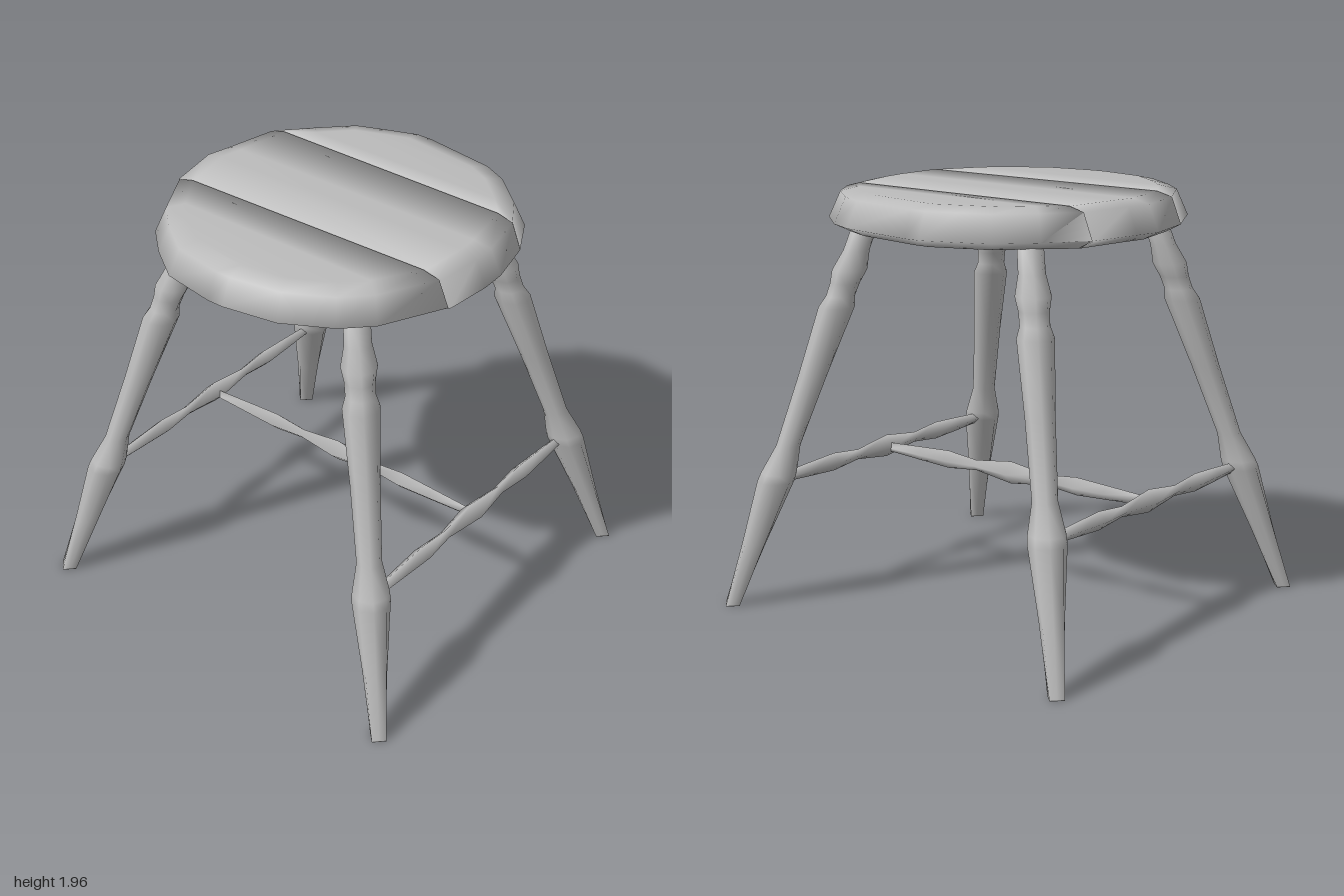
import * as THREE from 'three';
import { mergeVertices } from 'three/addons/utils/BufferGeometryUtils.js';

const wood = new THREE.MeshStandardMaterial({ color: 0xbbbbbb });
wood.name = 'plain wood grey';

function part(name, geometry) {
  const mesh = new THREE.Mesh(geometry, wood);
  mesh.name = name;
  return mesh;
}

// Low-sided turned piece with smooth, seamless normals; profile is [radius, height]
function turned(profile, sides) {
  const g = new THREE.LatheGeometry(profile.map(([r, y]) => new THREE.Vector2(r, y)), sides);
  g.deleteAttribute('uv');
  g.deleteAttribute('normal');
  return mergeVertices(g, 1e-4);
}

// Leg leaning outwards, with horizontal slices shifted along its axis
function leg(sx, sz) {
  const g = turned([
    [0, 0], [0.046, 0], [0.046, 0.002], [0.065, 0.3], [0.086, 0.6], [0.083, 0.64], [0.056, 0.77],
    [0.066, 1.1], [0.083, 1.42], [0.066, 1.47], [0.068, 1.53], [0.08, 1.59],
    [0.06, 1.68], [0.058, 1.81], [0, 1.81],
  ], 8);
  const p = g.attributes.position;
  for (let i = 0; i < p.count; i++) {
    let x = p.getX(i), z = p.getZ(i);
    const y = p.getY(i);
    // The section turns from octagon at the knee to square at the foot
    if (Math.abs(x * z) > 1e-6) {
      const k = 0.707 + 0.293 * Math.min(1, y / 0.6);
      x *= k;
      z *= k;
    }
    p.setX(i, x + sx * (0.915 - 0.247 * y));
    p.setZ(i, z + sz * (0.95 - 0.267 * y));
  }
  g.computeVertexNormals();
  return g;
}

// Horizontal four-sided rail with three swellings
function stretcher(half) {
  const side = [[0.054, 0], [0.025, 0.21], [0.043, 0.38], [0.034, 0.55], [0.022, half], [0, half]];
  const lower = side.slice(1).reverse().map(([r, y]) => [r, -y]);
  const g = turned([...lower, ...side], 4);
  g.computeVertexNormals();
  return g;
}

// Seat plank from stations [x, back z, front z, slant]; a slant marks a straight sawn edge
function plank(stations) {
  const n = stations.length, count = 2 * n;
  const rings = [[0.9, 1.786], [1, 1.825], [0.935, 1.943], [0.83, 1.963]];
  const pos = [], index = [];
  const quad = (a, b, c, d) => index.push(a, b, c, a, c, d);
  const station = j => (j < n ? j : count - 1 - j);
  for (const [s, y] of rings) {
    for (let j = 0; j < count; j++) {
      const [x, back, front, slant] = stations[station(j)];
      const z = (j < n ? front : back) * s;
      pos.push(slant === undefined ? x * s : x + slant * z, y, z);
    }
  }
  // Rim and sawn sides
  for (let k = 0; k < rings.length - 1; k++) {
    for (let j = 0; j < count; j++) {
      const a = k * count + j, b = k * count + (j + 1) % count;
      quad(a, b, b + count, a + count);
    }
  }
  // Top and underside
  const top = (rings.length - 1) * count;
  for (let i = 0; i < n - 1; i++) {
    const f0 = i, f1 = i + 1, b1 = count - 2 - i, b0 = count - 1 - i;
    quad(top + f0, top + f1, top + b1, top + b0);
    quad(f0, b0, b1, f1);
  }
  const g = new THREE.BufferGeometry();
  g.setAttribute('position', new THREE.Float32BufferAttribute(pos, 3));
  g.setIndex(index);
  g.computeVertexNormals();
  // Soft shading rolls over the sawn edges
  for (let j = 0; j < count; j++) {
    const i = station(j);
    if (stations[i][3] === undefined) continue;
    const side = i === 0 ? -0.8 : 0.8;
    g.attributes.normal.setXYZ(top + j, side, 0.6, 0);
    g.attributes.normal.setXYZ(j, side, -0.6, 0);
  }
  return g;
}

export function createModel() {
  const stool = new THREE.Group();
  stool.name = 'stool';

  // Seat made of three planks
  const seat = new THREE.Group();
  seat.name = 'seat';
  seat.add(
    part('rightPlank', plank([
      [-0.805, -0.06, 0.02], [-0.76, -0.32, 0.28], [-0.64, -0.49, 0.5], [-0.52, -0.62, 0.62],
      [-0.242, -0.755, 0.765, 0.02],
    ])),
    part('middlePlank', plank([
      [-0.236, -0.76, 0.775, 0.02], [0, -0.81, 0.795], [0.12, -0.78, 0.79], [0.354, -0.725, 0.735, -0.006],
    ])),
    part('leftPlank', plank([
      [0.361, -0.72, 0.73, -0.006], [0.54, -0.58, 0.63], [0.69, -0.43, 0.46], [0.75, -0.28, 0.33], [0.805, -0.13, -0.05],
    ])),
  );
  stool.add(seat);

  // Four splayed legs
  for (const sx of [-1, 1]) {
    for (const sz of [-1, 1]) {
      stool.add(part((sz > 0 ? 'front' : 'back') + (sx > 0 ? 'Left' : 'Right') + 'Leg', leg(sx, sz)));
    }
  }

  // Front and back stretchers, joined by a middle one
  for (const sz of [-1, 1]) {
    const rail = part(sz > 0 ? 'frontStretcher' : 'backStretcher', stretcher(0.74));
    rail.rotation.z = Math.PI / 2;
    rail.position.set(0, 0.608, sz * 0.78);
    stool.add(rail);
  }
  const middle = part('middleStretcher', stretcher(0.76));
  middle.rotation.x = Math.PI / 2;
  middle.position.y = 0.605;
  stool.add(middle);

  return stool;
}
